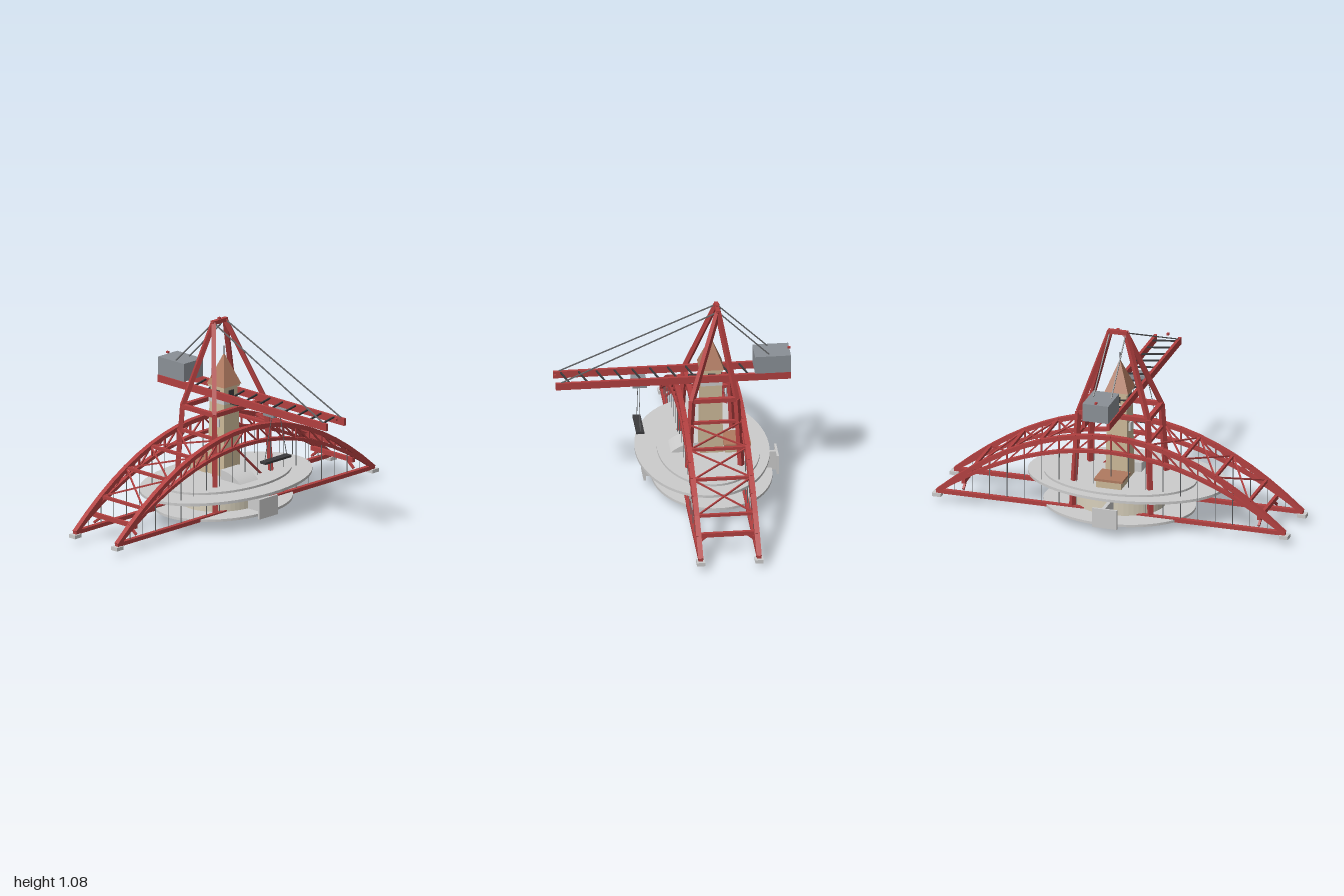
import * as THREE from 'three';

const mat = (color, side = THREE.FrontSide) => new THREE.MeshStandardMaterial({ color, side, flatShading: true });
const RED = mat(0xb24040), GREY = mat(0xcccccc), STEEL = mat(0x8a9096), DARK = mat(0x3a3a3c),
  STONE = mat(0xcbb898), DRUM = mat(0xd8d0bc), ROOF = mat(0xb07a60), WIRE = mat(0x66686a);
const CX = -0.21;
const V = (x, y, z) => new THREE.Vector3(x, y, z);

export function createModel() {
  const root = new THREE.Group();
  const group = (name) => {
    const g = new THREE.Group();
    g.name = name;
    root.add(g);
    return g;
  };
  const add = (parent, name, geo, m, x = 0, y = 0, z = 0) => {
    const mesh = new THREE.Mesh(geo, m);
    mesh.name = name;
    mesh.position.set(x, y, z);
    parent.add(mesh);
    return mesh;
  };
  // box given by its limits
  const box = (parent, name, m, x0, x1, y0, y1, z0, z1) =>
    add(parent, name, new THREE.BoxGeometry(x1 - x0, y1 - y0, z1 - z0), m, (x0 + x1) / 2, (y0 + y1) / 2, (z0 + z1) / 2);
  // square bar between two points
  const bar = (parent, name, a, b, w, m = RED, h = w) => {
    const mesh = add(parent, name, new THREE.BoxGeometry(w, h, a.distanceTo(b)), m);
    mesh.position.copy(a).lerp(b, 0.5);
    mesh.lookAt(b);
    return mesh;
  };
  // flat elliptical drum
  const disc = (parent, name, m, x, z, rx, rz, y0, y1) =>
    add(parent, name, new THREE.CylinderGeometry(1, 1, y1 - y0, 56).scale(rx, 1, rz), m, x, (y0 + y1) / 2, z);

  // Bridge: two trussed arches with ties, hangers and feet
  const arch = (rise, z) => 0.06 + rise * (1 - (z / 0.975) ** 2);
  const top = (z) => arch(0.43, z), low = (z) => arch(0.345, z);
  const sides = [CX - 0.157, CX + 0.157];
  for (const x of sides) {
    const g = group('archTruss');
    const n = 20, zs = Array.from({ length: n + 1 }, (_, i) => -0.975 + (1.95 * i) / n);
    for (let i = 0; i < n; i++) {
      const a = zs[i], b = zs[i + 1];
      bar(g, 'upperChord', V(x, top(a), a), V(x, top(b), b), 0.028, RED, 0.024);
      bar(g, 'lowerChord', V(x, low(a), a), V(x, low(b), b), 0.024, RED, 0.018);
      if (i > 0 && i < n - 1) {
        const [p, q] = a < -0.01 ? [a, b] : [b, a];
        bar(g, 'webDiagonal', V(x, top(q), q), V(x, low(p), p), 0.008);
      }
      if (i > 0) {
        bar(g, 'webPost', V(x, low(a), a), V(x, top(a), a), 0.008);
        bar(g, 'hanger', V(x, 0.06, a), V(x, low(a), a), 0.003, WIRE);
      }
    }
    box(g, 'tieBeam', RED, x - 0.012, x + 0.012, 0.05, 0.072, -0.98, 0.98);
    for (const s of [-1, 1]) box(g, 'footPad', GREY, x - 0.022, x + 0.022, 0.032, 0.052, s * 0.975 - 0.025, s * 0.975 + 0.025);
  }

  // Bracing between the arches
  const bracing = group('archBracing');
  const [xl, xr] = sides;
  for (const s of [-1, 1]) {
    const stations = [0.775, 0.585, 0.4, 0.2];
    stations.forEach((d, i) => {
      const z = s * d;
      bar(bracing, 'crossStrut', V(xl, top(z), z), V(xr, top(z), z), 0.016);
      if (i < 3) {
        const z2 = s * stations[i + 1];
        bar(bracing, 'crossBrace', V(xl, top(z), z), V(xr, top(z2), z2), 0.008);
        bar(bracing, 'crossBrace', V(xr, top(z), z), V(xl, top(z2), z2), 0.008);
      }
    });
    const z = s * 0.83;
    box(bracing, 'portalBeam', RED, xl, xr, 0.118, 0.142, z - 0.009, z + 0.009);
    for (const [x, d] of [[xl, 1], [xr, -1]]) bar(bracing, 'portalKnee', V(x, 0.085, z), V(x + d * 0.05, 0.125, z), 0.012);
  }

  // Decks
  const decks = group('decks');
  disc(decks, 'lowerDeck', GREY, -0.215, 0, 0.325, 0.417, 0.05, 0.064);
  disc(decks, 'drum', DRUM, CX, 0, 0.21, 0.25, 0.064, 0.17);
  disc(decks, 'upperDeck', GREY, -0.167, 0.03, 0.36, 0.55, 0.185, 0.2);
  disc(decks, 'upperDeckStep', GREY, -0.198, 0, 0.275, 0.42, 0.2, 0.212);

  // Side fins with end plates
  for (const s of [-1, 1]) {
    const x = CX + s * 0.358, inner = CX + s * 0.2;
    box(decks, 'finWeb', GREY, Math.min(x, inner), Math.max(x, inner), 0.05, 0.16, 0.01, 0.03);
    box(decks, 'finEndPlate', GREY, x - 0.006, x + 0.006, 0.05, 0.16, -0.04, 0.098);
  }

  // Curved keel under the lower deck
  const keel = new THREE.Shape();
  keel.moveTo(-0.228, 0.052);
  keel.lineTo(-0.228, 0.03);
  keel.quadraticCurveTo(0, -0.03, 0.228, 0.03);
  keel.lineTo(0.228, 0.052);
  add(decks, 'keel', new THREE.ExtrudeGeometry(keel, { depth: 0.04, bevelEnabled: false, curveSegments: 10 }), GREY, CX, 0, -0.02);

  // Deck houses
  const houses = group('deckHouses');
  box(houses, 'houseWalls', STONE, -0.41, -0.28, 0.21, 0.252, -0.07, 0.07);
  box(houses, 'houseRoof', ROOF, -0.42, -0.275, 0.252, 0.265, -0.08, 0.08);
  const shed = new THREE.Shape();
  shed.moveTo(-0.14, 0.21);
  shed.lineTo(0.01, 0.21);
  shed.quadraticCurveTo(-0.03, 0.25, -0.1, 0.262);
  shed.lineTo(-0.14, 0.265);
  add(houses, 'curvedShed', new THREE.ExtrudeGeometry(shed, { depth: 0.138, bevelEnabled: false }), GREY, 0, 0, -0.04);

  // Stone tower with pyramid roof
  const tower = group('tower');
  const square = (r0, r1, h) => new THREE.CylinderGeometry(r1 * Math.SQRT2, r0 * Math.SQRT2, h, 4).rotateY(Math.PI / 4);
  add(tower, 'shaft', square(0.063, 0.055, 0.45), STONE, CX, 0.395, 0);
  box(tower, 'belt', GREY, CX - 0.058, CX + 0.058, 0.615, 0.64, -0.058, 0.058);
  box(tower, 'belfry', STONE, CX - 0.052, CX + 0.052, 0.64, 0.712, -0.052, 0.052);
  add(tower, 'roof', square(0.066, 0.001, 0.17), ROOF, CX, 0.797, 0);
  box(tower, 'cornice', STONE, CX - 0.06, CX + 0.06, 0.7, 0.713, -0.06, 0.06);
  add(tower, 'spire', new THREE.CylinderGeometry(0.003, 0.003, 0.06, 6), DARK, CX, 0.895, 0);
  for (let i = 0; i < 4; i++) {
    const a = (i * Math.PI) / 2;
    const w = add(tower, 'window', new THREE.BoxGeometry(0.04, 0.035, 0.008), DARK, CX + Math.sin(a) * 0.053, 0.67, Math.cos(a) * 0.053);
    w.rotation.y = a;
  }
  box(tower, 'balcony', GREY, CX - 0.026, CX + 0.026, 0.485, 0.53, 0.05, 0.066);

  // Crane trestle and A-frame mast
  const mast = group('mast');
  const peak = (sz) => V(-0.245, 1.055, sz * 0.045);
  const shoulder = (sx, sz) => V(CX + sx * 0.12, 0.603, sz * 0.195);
  for (const sx of [-1, 1]) {
    for (const sz of [-1, 1]) {
      bar(mast, 'trestleLeg', V(CX + sx * 0.15, 0.06, sz * 0.22), shoulder(sx, sz), 0.026);
      bar(mast, 'mastLeg', shoulder(sx, sz), peak(sz), 0.024);
    }
    bar(mast, 'sideBeam', shoulder(sx, -1), shoulder(sx, 1), 0.024);
    bar(mast, 'endBeam', shoulder(-1, sx), shoulder(1, sx), 0.024);
  }
  bar(mast, 'peakBeam', V(-0.245, 1.055, -0.055), V(-0.245, 1.055, 0.055), 0.022);
  box(mast, 'peakLamp', RED, -0.252, -0.238, 1.064, 1.076, -0.007, 0.007);
  bar(mast, 'trestleBrace', V(CX + 0.14, 0.4, 0.06), V(CX + 0.145, 0.13, -0.215), 0.01);

  // Jib with twin beams
  const jib = group('jib');
  for (const s of [-1, 1]) {
    const z = s * 0.068;
    box(jib, 'jibBeam', RED, -0.635, 0.63, 0.645, 0.685, z - 0.008, z + 0.008);
    bar(jib, 'frontStay', peak(s), V(0.6, 0.685, z), 0.006, WIRE);
    bar(jib, 'rearStay', peak(s), V(-0.52, 0.785, s * 0.05), 0.006, WIRE);
    bar(jib, 'hoistCable', V(0.178, 0.62, s * 0.03), V(0.178, 0.375, s * 0.085), 0.003, WIRE);
  }
  for (let i = 0; i < 13; i++) {
    const x = -0.6 + i * 0.096;
    bar(jib, 'jibLacing', V(x, 0.678, -0.068), V(x + 0.04, 0.678, 0.068), 0.008, DARK);
  }
  box(jib, 'counterweight', STEEL, -0.635, -0.442, 0.685, 0.785, -0.075, 0.07);
  box(jib, 'trolley', STEEL, 0.137, 0.215, 0.622, 0.648, -0.055, 0.055);
  box(jib, 'liftingBar', DARK, 0.157, 0.2, 0.367, 0.379, -0.1, 0.1);
  box(jib, 'winch', DARK, -0.142, -0.09, 0.615, 0.65, -0.022, 0.022);
  box(jib, 'tailLamp', RED, -0.64, -0.625, 0.79, 0.8, -0.006, 0.006);
  box(jib, 'tipLamp', RED, 0.622, 0.636, 0.688, 0.7, -0.006, 0.006);
  return root;
}
